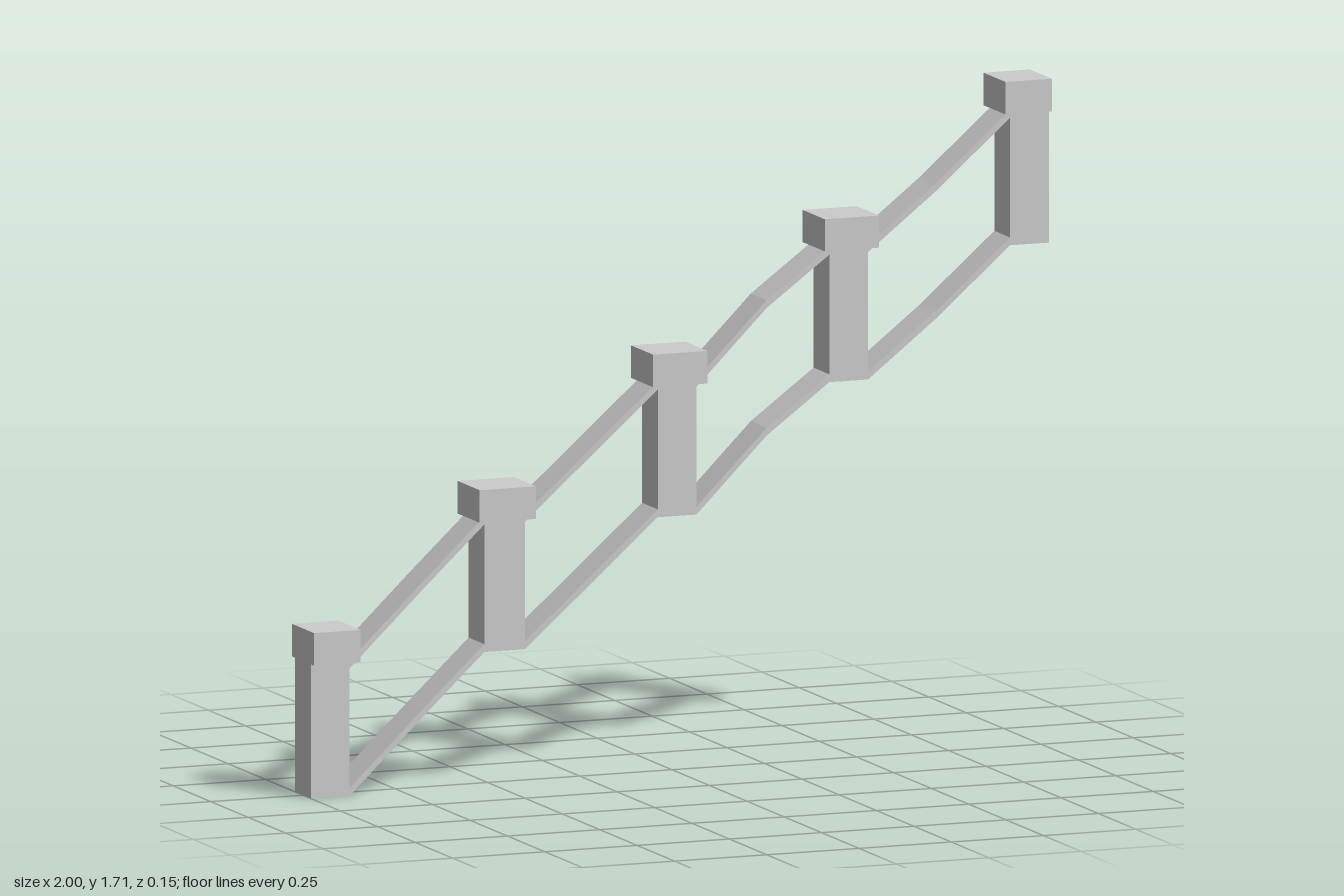
import * as THREE from 'three';

const grey = new THREE.MeshStandardMaterial({ color: 0xcccccc, flatShading: true });
const thin = new THREE.MeshStandardMaterial({ color: 0xcccccc, flatShading: true, side: THREE.DoubleSide });
const DEPTH = 0.106, RAIL = 0.02, RAIL_GAP = 0.325;

function block(name, x0, x1, y0, y1, depth) {
  const mesh = new THREE.Mesh(new THREE.BoxGeometry(x1 - x0, y1 - y0, depth), grey);
  mesh.position.set((x0 + x1) / 2, (y0 + y1) / 2, 0);
  mesh.name = name;
  return mesh;
}

// Sloping channel with vertical ends and an open underside
function railPiece(name, [xa, ya], [xb, yb]) {
  const geo = new THREE.BoxGeometry(xb - xa, RAIL, DEPTH);
  const index = Array.from(geo.index.array);
  index.splice(18, 6); // drop the bottom face
  geo.setIndex(index);
  geo.clearGroups();
  const pos = geo.attributes.position;
  const slope = (yb - ya) / (xb - xa);
  for (let i = 0; i < pos.count; i++) pos.setY(i, pos.getY(i) + slope * pos.getX(i));
  geo.computeVertexNormals();
  const mesh = new THREE.Mesh(geo, thin);
  mesh.position.set((xa + xb) / 2, (ya + yb) / 2 + RAIL / 2, 0);
  mesh.name = name;
  return mesh;
}

export function createModel() {
  const model = new THREE.Group();
  model.name = 'steppedFence';

  // Posts: left edge, right edge, foot, cap underside, cap top
  const posts = [
    [-1, -0.895, 0, 0.342, 0.425],
    [-0.53, -0.42, 0.343, 0.677, 0.76],
    [-0.06, 0.045, 0.656, 0.992, 1.075],
    [0.405, 0.51, 0.97, 1.308, 1.39],
    [0.895, 1, 1.287, 1.625, 1.708],
  ];
  // Point where each span of rail bends
  const bends = [[-0.695, 0.19], [-0.26, 0.482], [0.235, 0.845], [0.69, 1.11]];

  posts.forEach(([x0, x1, foot, neck, top], i) => {
    const group = new THREE.Group();
    group.name = 'post' + (i + 1);
    // End caps are flush with the outer ends
    const capLeft = i === 0 ? x0 : x0 - 0.021;
    const capRight = i === posts.length - 1 ? x1 : x1 + 0.021;
    group.add(block('shaft', x0, x1, foot, neck, DEPTH));
    group.add(block('cap', capLeft, capRight, neck, top, 0.148));
    model.add(group);
  });

  // Lower and upper rails, two pieces per span
  bends.forEach((bend, i) => {
    const start = [posts[i][1], posts[i][2]];
    const end = [posts[i + 1][0], posts[i + 1][2]];
    for (const [name, lift] of [['lowerRail', 0], ['upperRail', RAIL_GAP]]) {
      const [a, b, c] = [start, bend, end].map(([x, y]) => [x, y + lift]);
      model.add(railPiece(name, a, b), railPiece(name, b, c));
    }
  });
  return model;
}
